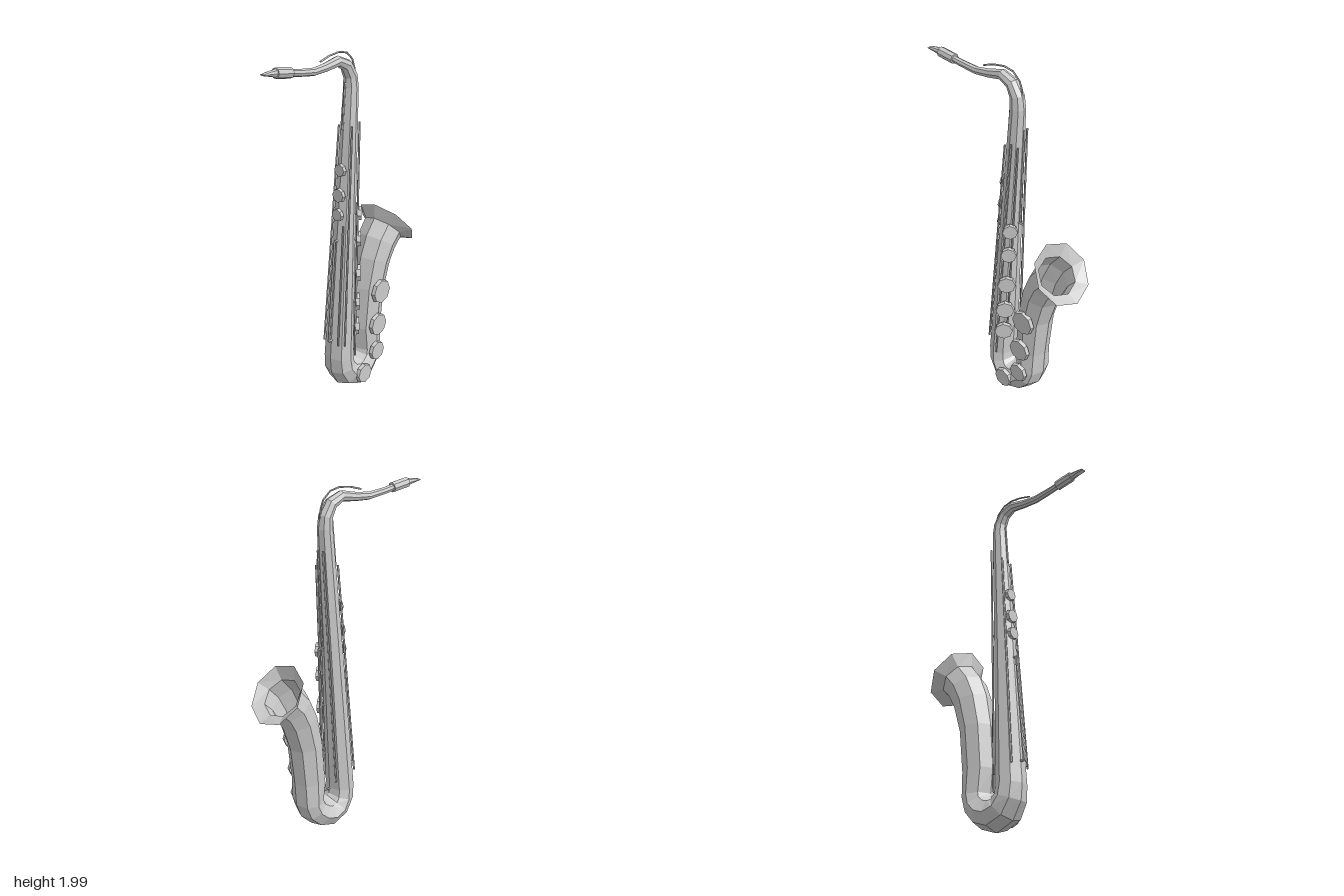
import * as THREE from 'three';

const material = new THREE.MeshStandardMaterial({ color: 0xcccccc, flatShading: true, side: THREE.DoubleSide });
const V = (x, y, z = 0) => new THREE.Vector3(x, y, z);

// Stations along the horn: x, y, radius in the plane, radius in z
const horn = [
  [-0.40, 1.945, 0.018, 0.018], [-0.30, 1.93, 0.019, 0.019], [-0.19, 1.92, 0.021, 0.021],
  [-0.10, 1.93, 0.024, 0.024], [-0.01, 1.948, 0.029, 0.029], [0.055, 1.92, 0.034, 0.034],
  [0.09, 1.86, 0.038, 0.038], [0.095, 1.80, 0.041, 0.041],
  [0.045, 1.0, 0.058, 0.066], [0.001, 0.24, 0.074, 0.092],
  [0.008, 0.175, 0.077, 0.098], [0.042, 0.122, 0.084, 0.107], [0.105, 0.10, 0.09, 0.114],
  [0.165, 0.12, 0.087, 0.113], [0.212, 0.165, 0.082, 0.108], [0.23, 0.22, 0.083, 0.103],
  [0.227, 0.36, 0.093, 0.097], [0.248, 0.60, 0.096, 0.103], [0.288, 0.765, 0.104, 0.112],
  [0.332, 0.86, 0.109, 0.119], [0.388, 0.925, 0.112, 0.122], [0.42, 0.952, 0.177, 0.185],
];

// Eight-sided tube through stations first..last of a path in the xy plane
function tube(path, first, last, capped = false) {
  const pos = [], index = [], n = 8;
  for (let i = first; i <= last; i++) {
    const [x, y, r, rz] = path[i];
    const a = path[Math.max(i - 1, 0)], b = path[Math.min(i + 1, path.length - 1)];
    const len = Math.hypot(b[0] - a[0], b[1] - a[1]);
    const tx = (b[0] - a[0]) / len, ty = (b[1] - a[1]) / len;
    for (let j = 0; j < n; j++) {
      const ang = (j / n) * Math.PI * 2, c = Math.cos(ang) * r;
      pos.push(x - ty * c, y + tx * c, Math.sin(ang) * rz);
    }
  }
  const rings = last - first;
  for (let i = 0; i < rings; i++) for (let j = 0; j < n; j++) {
    const k = (j + 1) % n, a = i * n + j, b = i * n + k, c = b + n, d = a + n;
    index.push(a, b, c, a, c, d);
  }
  if (capped) for (let j = 1; j < n - 1; j++) {
    const e = rings * n;
    index.push(0, j + 1, j, e, e + j, e + j + 1);
  }
  const geo = new THREE.BufferGeometry();
  geo.setAttribute('position', new THREE.Float32BufferAttribute(pos, 3));
  geo.setIndex(index);
  geo.computeVertexNormals();
  return geo;
}

// Point on the straight body at height y, angle from +x towards +z, lifted by off
function onBody(y, deg, off) {
  const t = (1.80 - y) / 1.56, a = THREE.MathUtils.degToRad(deg);
  const r = 0.041 + 0.033 * t, rz = 0.041 + 0.051 * t;
  return V(0.095 - 0.094 * t + Math.cos(a) * (r + off), y, Math.sin(a) * (rz + off));
}

export function createModel() {
  const model = new THREE.Group();
  const add = (name, geo, parent = model) => {
    const mesh = new THREE.Mesh(geo, material);
    mesh.name = name;
    parent.add(mesh);
    return mesh;
  };
  const group = (name) => {
    const g = new THREE.Group();
    g.name = name;
    model.add(g);
    return g;
  };
  const along = (mesh, dir) => mesh.quaternion.setFromUnitVectors(V(0, 1, 0), dir.clone().normalize());

  // Thin rod between two points
  const rod = (name, a, b, parent, r = 0.006) => {
    const m = add(name, new THREE.CylinderGeometry(r, r, a.distanceTo(b), 5), parent);
    m.position.copy(a).lerp(b, 0.5);
    along(m, b.clone().sub(a));
  };
  const wire = (name, points, parent, r) => {
    for (let i = 1; i < points.length; i++) rod(name, points[i - 1], points[i], parent, r);
  };
  // Octagonal key cup facing along a direction
  const cup = (name, p, dir, r, parent, h = 0.022) => {
    const m = add(name, new THREE.CylinderGeometry(r * 0.95, r, h, 8), parent);
    m.position.copy(p);
    along(m, dir);
  };

  // Horn
  add('neck', tube(horn, 0, 7));
  add('body', tube(horn, 7, 9));
  add('bow', tube(horn, 9, 15));
  add('bell', tube(horn, 15, 20));
  add('bellFlare', tube(horn, 20, 21));

  // Mouthpiece: wedge beak and thicker barrel
  add('mouthpieceBeak', tube([[-0.54, 1.955, 0.004, 0.017], [-0.50, 1.955, 0.013, 0.019],
    [-0.44, 1.951, 0.023, 0.021]], 0, 2, true));
  add('mouthpieceBarrel', tube([[-0.455, 1.952, 0.028, 0.028], [-0.352, 1.939, 0.028, 0.028]], 0, 1, true));

  // Octave key arched over the neck
  const octave = group('octaveKey');
  wire('octaveLever', [V(-0.14, 1.963), V(-0.07, 1.985), V(0, 1.995), V(0.06, 1.984),
    V(0.105, 1.945), V(0.122, 1.90), V(0.125, 1.85)], octave, 0.005);

  // Key cups on the stack, turned between front and bell side
  const stack = group('stackKeys');
  for (const [y, r] of [[1.105, 0.043], [0.955, 0.045], [0.755, 0.052], [0.58, 0.054], [0.43, 0.054]]) {
    const a = THREE.MathUtils.degToRad(48), dir = V(Math.cos(a), 0, Math.sin(a));
    cup('stackCup', onBody(y, 48, 0.018), dir, r, stack);
    rod('stackPost', onBody(y, 48, -0.015), onBody(y, 48, 0.015), stack, 0.012);
  }

  // Large cups on the front of the bow and bell
  const low = group('lowKeys');
  for (const [x, y, r] of [[0.10, 0.115, 0.06], [0.215, 0.22, 0.058], [0.222, 0.39, 0.068], [0.245, 0.595, 0.073]]) {
    cup('lowCup', V(x, y, 0.108), V(0, 0, 1), r, low);
  }

  // Finger keys on the mouthpiece side
  const finger = group('fingerKeys');
  for (const [y, r] of [[1.36, 0.036], [1.22, 0.04], [1.11, 0.036]]) {
    cup('fingerCup', onBody(y, 180, 0.008), V(-1, 0, 0), r, finger, 0.02);
  }

  // Long rods lying along the body: angle, top, bottom, lift
  const rods = group('keyRods');
  for (const [deg, top, bottom, off] of [
    [72, 1.62, 0.26, 0.012], [35, 1.60, 0.40, 0.010], [125, 1.60, 0.34, 0.010],
    [180, 1.83, 1.58, 0.008], [150, 1.05, 0.34, 0.010], [0, 1.69, 1.15, 0.010],
    [-35, 1.69, 0.30, 0.010], [-140, 1.60, 0.34, 0.010],
  ]) rod('keyRod', onBody(top, deg, off), onBody(bottom, deg, off), rods);

  // Raised guard wires on both edges of the body
  const guards = group('guards');
  wire('outerGuard', [V(0.0, 0.96), V(-0.035, 0.96), V(-0.086, 0.36), V(-0.05, 0.36)], guards, 0.007);
  wire('innerGuard', [V(0.09, 1.14), V(0.144, 1.14), V(0.126, 0.23), V(0.06, 0.23)], guards, 0.006);

  return model;
}
